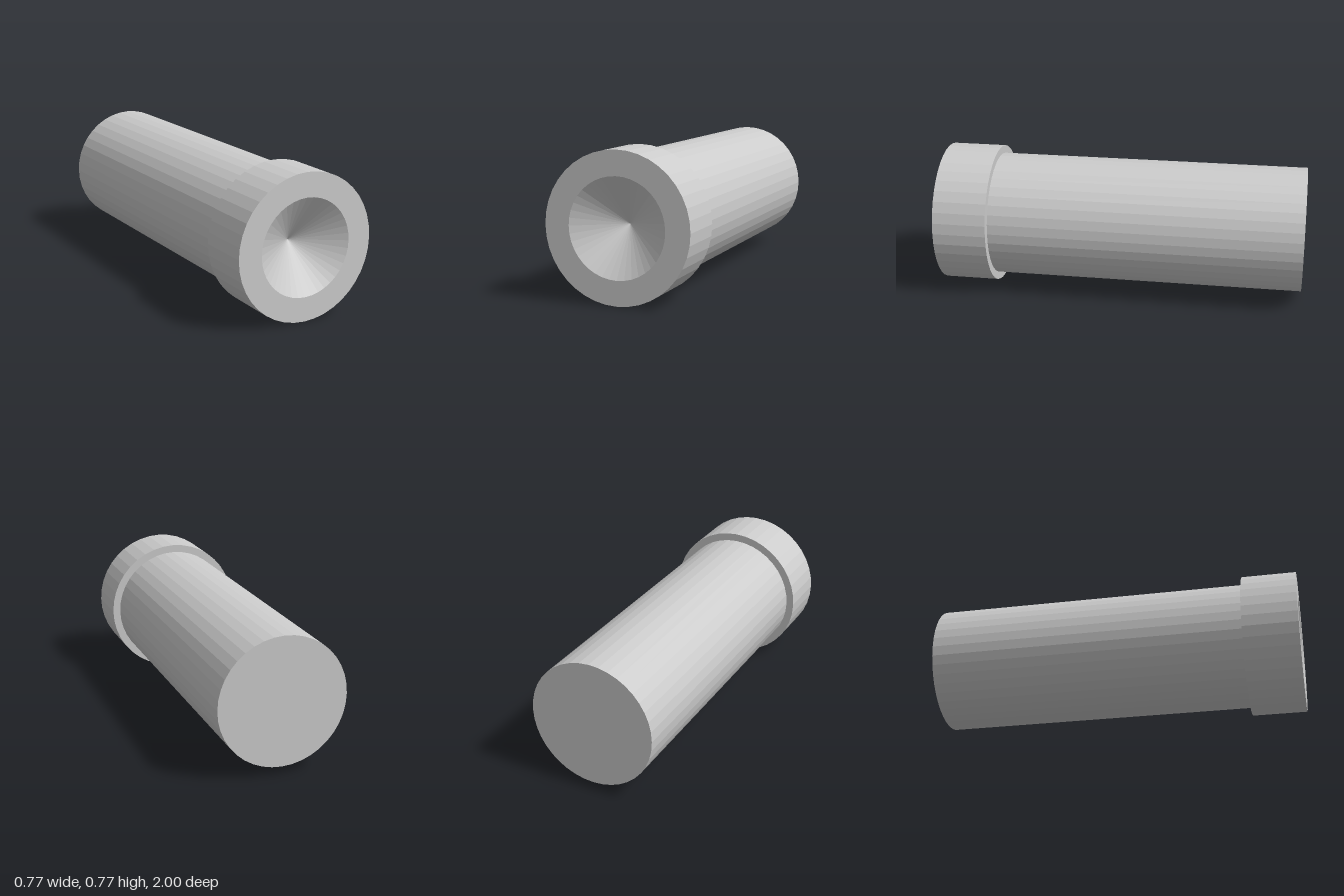
import * as THREE from 'three';

const SIDES = 40;
const HEAD_RADIUS = 0.383;
const BODY_RADIUS = 0.34;
const HEAD_BACK = 0.705;

// Turns a (radius, z) profile, listed from back to front, around the z axis.
function turnedPart(name, profile) {
  const points = profile.map(([r, z]) => new THREE.Vector2(r, z));
  const geometry = new THREE.LatheGeometry(points, SIDES);
  geometry.rotateX(Math.PI / 2);
  geometry.translate(0, HEAD_RADIUS, 0);
  const material = new THREE.MeshStandardMaterial({ color: 0xcccccc, flatShading: true });
  const mesh = new THREE.Mesh(geometry, material);
  mesh.name = name;
  return mesh;
}

export function createModel() {
  const group = new THREE.Group();
  group.name = 'collaredCylinder';

  // Long plain shaft, closed at the back
  group.add(turnedPart('shaft', [
    [0, -1],
    [BODY_RADIUS, -1],
    [BODY_RADIUS, HEAD_BACK],
  ]));

  // Wider collar with a shallow conical recess in its front face
  group.add(turnedPart('collar', [
    [BODY_RADIUS, HEAD_BACK],
    [HEAD_RADIUS, HEAD_BACK],
    [HEAD_RADIUS, 1],
    [0.255, 1],
    [0, 0.834],
  ]));

  return group;
}
